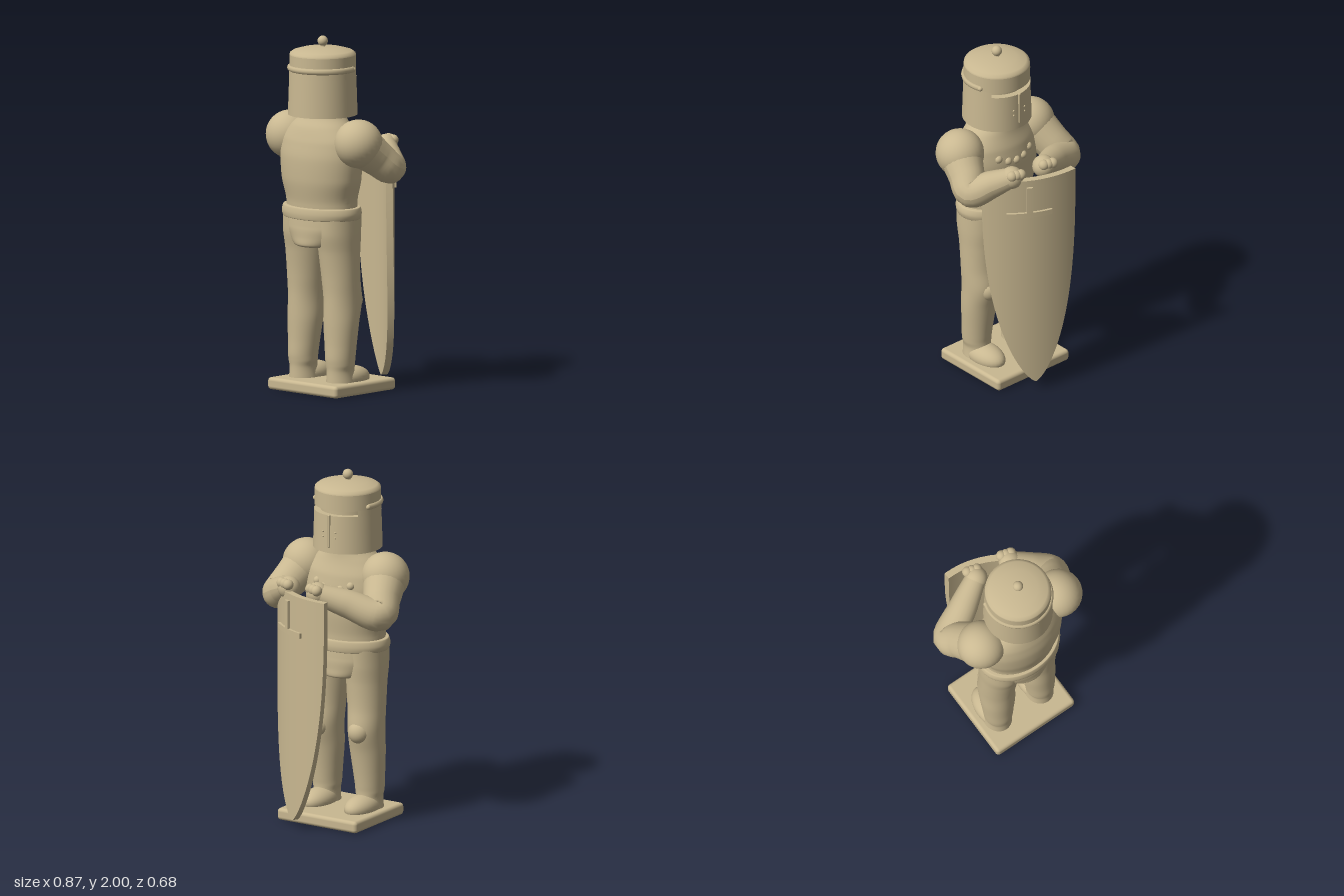
import * as THREE from 'three';
import { RoundedBoxGeometry } from 'three/addons/geometries/RoundedBoxGeometry.js';

const clay = new THREE.MeshStandardMaterial({ color: 0xc9b891, side: THREE.DoubleSide });
clay.name = 'tan clay';

function add(group, name, geometry, x = 0, y = 0, z = 0) {
  const mesh = new THREE.Mesh(geometry, clay);
  mesh.name = name;
  mesh.position.set(x, y, z);
  group.add(mesh);
  return mesh;
}

// Grid of points f(u, v), both 0..1, as a surface with smooth normals
function sheet(f, nu, nv) {
  const g = new THREE.PlaneGeometry(1, 1, nu, nv);
  const p = g.attributes.position;
  for (let j = 0, i = 0; j <= nv; j++)
    for (let k = 0; k <= nu; k++, i++) p.setXYZ(i, ...f(k / nu, j / nv));
  g.computeVertexNormals();
  // match normals along the closing seam
  const n = g.attributes.normal;
  for (let j = 0; j <= nv; j++) {
    const a = j * (nu + 1), b = a + nu;
    if (Math.hypot(p.getX(a) - p.getX(b), p.getY(a) - p.getY(b), p.getZ(a) - p.getZ(b)) < 1e-5) {
      const m = new THREE.Vector3().fromBufferAttribute(n, a);
      m.add(new THREE.Vector3().fromBufferAttribute(n, b)).normalize();
      n.setXYZ(a, m.x, m.y, m.z);
      n.setXYZ(b, m.x, m.y, m.z);
    }
  }
  return g;
}

// Oval sections [y, centre x, centre z, half width, half depth], listed top to bottom
function loft(sections) {
  const mid = new THREE.CatmullRomCurve3(sections.map(s => new THREE.Vector3(s[1], s[0], s[2])));
  const rad = new THREE.CatmullRomCurve3(sections.map(s => new THREE.Vector3(s[3], 0, s[4])));
  return sheet((u, v) => {
    const c = mid.getPoint(v), r = rad.getPoint(v), a = u * Math.PI * 2;
    return [c.x + r.x * Math.sin(a), c.y, c.z + r.z * Math.cos(a)];
  }, 40, sections.length * 6);
}

// Tube along points whose radius follows a second list
function limb(points, radii) {
  const path = new THREE.CatmullRomCurve3(points.map(p => new THREE.Vector3(...p)));
  const rad = new THREE.CatmullRomCurve3(radii.map(r => new THREE.Vector3(r, 0, 0)));
  const N = 36, S = 24, g = new THREE.TubeGeometry(path, N, 1, S);
  const p = g.attributes.position, v = new THREE.Vector3();
  for (let i = 0; i < p.count; i++) {
    const t = Math.floor(i / (S + 1)) / N, c = path.getPointAt(t);
    v.fromBufferAttribute(p, i).sub(c).multiplyScalar(rad.getPoint(t).x).add(c);
    p.setXYZ(i, v.x, v.y, v.z);
  }
  g.computeVertexNormals();
  return g;
}

const ball = (r) => new THREE.SphereGeometry(r, 28, 20);

function makeHelmet() {
  const g = new THREE.Group();
  g.name = 'helmet';
  g.position.set(-0.012, 0, 0.14);
  const lathe = (pts) => new THREE.LatheGeometry(pts.map(p => new THREE.Vector2(...p)), 56);
  // straight face guard, open below
  add(g, 'helmetLower', lathe([[0.17, 1.6], [0.172, 1.565], [0.192, 1.565]]));
  add(g, 'helmetWall', lathe([[0.194, 1.56], [0.187, 1.775]]));
  add(g, 'guardRim', lathe([[0.187, 1.775], [0.15, 1.775]]));
  // recess behind the eye slot, closed around the back
  add(g, 'eyeRecess', new THREE.CylinderGeometry(0.152, 0.152, 0.05, 40, 1, true), 0, 1.79);
  add(g, 'slotBack', new THREE.CylinderGeometry(0.186, 0.187, 0.035, 48, 1, true, -2.25, 4.5), 0, 1.79);
  add(g, 'browUnderside', lathe([[0.15, 1.805], [0.186, 1.805]]));
  add(g, 'brow', lathe([[0.186, 1.805], [0.185, 1.895]]));
  add(g, 'dome', lathe([[0.185, 1.89], [0.183, 1.905], [0.165, 1.918], [0.11, 1.933], [0.05, 1.94], [0.0001, 1.942]]));
  // band around the back, ending at the temples
  const arc = [];
  for (let i = 0; i <= 24; i++) {
    const a = -1.9 + 3.8 * i / 24;
    arc.push(new THREE.Vector3(0.187 * Math.sin(a), 0, 0.187 * Math.cos(a)));
  }
  const band = add(g, 'backBand', new THREE.TubeGeometry(new THREE.CatmullRomCurve3(arc), 60, 0.011, 8), 0, 1.822);
  band.scale.y = 1.5;
  for (const e of [arc[0], arc[24]]) add(g, 'bandEnd', ball(0.014), e.x, 1.822, e.z);
  // nose ridge and breathing studs
  add(g, 'noseRidge', new RoundedBoxGeometry(0.016, 0.19, 0.016, 2, 0.005), 0, 1.685, -0.19);
  for (const s of [-1, 1])
    for (let i = 0; i < 2; i++) add(g, 'breathStud', ball(0.006), s * 0.04, 1.65 + i * 0.03, -0.186);
  add(g, 'knobStem', new THREE.CylinderGeometry(0.013, 0.018, 0.04, 16), 0, 1.945);
  add(g, 'knob', ball(0.029), 0, 1.971);
  return g;
}

// Curved plate: u is -1..1 across the arc, d is the offset from its middle
function shieldPoint(u, y, d) {
  const a = -1.09 + u * 0.513, r = 0.53 + d;
  return [-0.154 + r * Math.cos(a), y, 0.21 + r * Math.sin(a)];
}

function makeShield() {
  const g = new THREE.Group();
  g.name = 'shield';
  const top = 1.36, tip = 0.055;
  const width = (v) => Math.pow(Math.max(0, 1 - Math.pow(v, 2.6)), 0.72);
  const at = (u, v, d) => shieldPoint(-0.09 * v * v + u * width(v), top + (tip - top) * v, d);
  const ease = (v) => Math.sin(v * Math.PI / 2);
  const h = 0.019;
  add(g, 'shieldFront', sheet((u, v) => at(u * 2 - 1, ease(v), h), 24, 48));
  add(g, 'shieldBack', sheet((u, v) => at(1 - u * 2, ease(v), -h), 24, 48));
  for (const s of [-1, 1])
    add(g, 'shieldEdge', sheet((u, v) => at(s, ease(v), s * h * (u * 2 - 1)), 1, 48));
  add(g, 'shieldTop', sheet((u, v) => at(u * 2 - 1, 0, h * (v * 2 - 1)), 24, 1));
  // raised emblem of two bars following the curve
  const bar = (u0, u1, y0, y1) => {
    const b = new THREE.BoxGeometry(1, 1, 1, 10, 1, 1), p = b.attributes.position;
    for (let i = 0; i < p.count; i++)
      p.setXYZ(i, ...shieldPoint(u0 + (u1 - u0) * (p.getX(i) + 0.5),
        y0 + (y1 - y0) * (p.getY(i) + 0.5), h + 0.005 + 0.02 * p.getZ(i)));
    b.computeVertexNormals();
    return b;
  };
  add(g, 'emblemCrossbar', bar(-0.42, 0.5, 1.13, 1.16));
  add(g, 'emblemPost', bar(-0.02, 0.1, 1.155, 1.32));
  return g;
}

export function createModel() {
  const model = new THREE.Group();
  model.name = 'knightFigure';

  // base slab
  add(model, 'base', new RoundedBoxGeometry(0.53, 0.068, 0.49, 4, 0.02), -0.01, 0.036, 0.07);

  // trunk, belt and shorts
  add(model, 'torso', loft([
    [1.62, -0.012, 0.14, 0.12, 0.115], [1.56, -0.012, 0.14, 0.13, 0.12], [1.5, -0.012, 0.15, 0.19, 0.14],
    [1.42, -0.012, 0.15, 0.25, 0.165], [1.32, -0.012, 0.15, 0.265, 0.18], [1.2, -0.012, 0.15, 0.255, 0.178],
    [1.08, -0.012, 0.147, 0.225, 0.163], [1.0, -0.012, 0.145, 0.225, 0.16]]));
  for (let i = -2; i <= 2; i++)
    add(model, 'chestStud', ball(0.024), -0.012 + i * 0.055, 1.34 + 0.008 * i * i, -0.02 + 0.006 * i * i);
  add(model, 'belt', loft([
    [1.052, -0.012, 0.147, 0.215, 0.15], [1.05, -0.012, 0.147, 0.243, 0.176], [1.015, -0.012, 0.147, 0.253, 0.182],
    [0.985, -0.012, 0.147, 0.245, 0.178], [0.98, -0.012, 0.147, 0.215, 0.15]]));
  add(model, 'shorts', loft([
    [1.0, -0.012, 0.145, 0.232, 0.16], [0.94, -0.012, 0.145, 0.232, 0.163], [0.88, -0.012, 0.145, 0.195, 0.164],
    [0.835, -0.012, 0.145, 0.15, 0.162], [0.825, -0.012, 0.145, 0.13, 0.14], [0.822, -0.012, 0.145, 0.01, 0.01]]));

  // legs with knees and boots
  for (const s of [-1, 1]) {
    const x = (d) => -0.012 + s * d;
    const leg = new THREE.Group();
    leg.name = s > 0 ? 'leftLeg' : 'rightLeg';
    add(leg, 'legColumn', loft([
      [1.0, x(0.128), 0.145, 0.112, 0.14], [0.9, x(0.128), 0.145, 0.114, 0.135], [0.8, x(0.127), 0.14, 0.113, 0.12],
      [0.65, x(0.132), 0.132, 0.107, 0.11], [0.53, x(0.136), 0.122, 0.102, 0.113], [0.4, x(0.137), 0.135, 0.1, 0.1],
      [0.28, x(0.14), 0.143, 0.09, 0.09], [0.2, x(0.142), 0.148, 0.083, 0.086], [0.165, x(0.142), 0.148, 0.08, 0.083],
      [0.13, x(0.142), 0.145, 0.073, 0.083], [0.06, x(0.142), 0.14, 0.08, 0.09]]));
    add(leg, 'knee', ball(0.06), x(0.136), 0.52, 0.049).scale.set(1.05, 1.1, 1);
    const foot = add(leg, 'foot', ball(1), x(0.142), 0.085, 0.075);
    foot.scale.set(0.083, 0.068, 0.14);
    model.add(leg);
  }

  // arms, bent to hold the shield from behind
  const arms = [
    ['leftArm', [0.262, 1.42, 0.14], [0.335, 1.275, -0.035], [0.165, 1.365, -0.185]],
    ['rightArm', [-0.262, 1.42, 0.14], [-0.345, 1.255, -0.045], [-0.045, 1.37, -0.215]],
  ];
  for (const [name, shoulder, elbow, hand] of arms) {
    const arm = new THREE.Group();
    arm.name = name;
    const mix = (a, b, t) => a.map((v, i) => v + (b[i] - v) * t);
    add(arm, 'shoulder', ball(0.136), ...shoulder);
    add(arm, 'armTube', limb(
      [shoulder, mix(shoulder, elbow, 0.6), elbow, mix(elbow, hand, 0.5), hand],
      [0.125, 0.105, 0.09, 0.078, 0.058]));
    add(arm, 'elbow', ball(0.087), ...elbow);
    add(arm, 'hand', ball(0.064), ...hand);
    // fingers curling over the grip
    for (let i = -1; i <= 1; i++)
      add(arm, 'knuckle', ball(0.03), hand[0] + i * 0.026, hand[1] + 0.03, hand[2] - 0.038 + i * 0.008);
    model.add(arm);
  }

  model.add(makeHelmet(), makeShield());
  return model;
}
